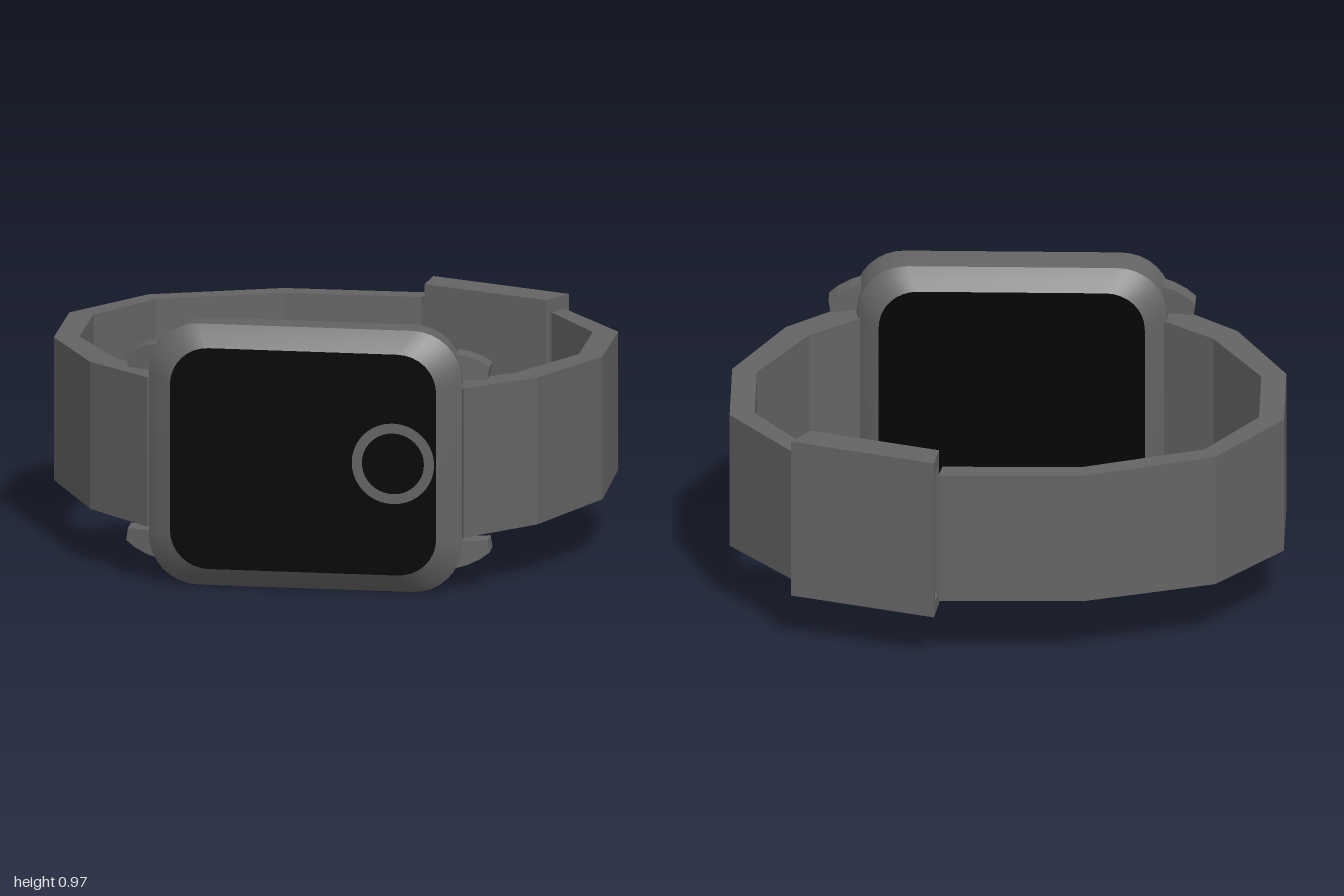
import * as THREE from 'three';
import { toCreasedNormals } from 'three/addons/utils/BufferGeometryUtils.js';

const MID = 0.487; // height of the watch's centre line

const grey = new THREE.MeshStandardMaterial({ color: 0x646464 });
grey.name = 'dark grey';
const black = new THREE.MeshStandardMaterial({ color: 0x020202 });
black.name = 'glass black';

function add(group, name, geometry, material) {
  const mesh = new THREE.Mesh(geometry, material);
  mesh.name = name;
  group.add(mesh);
  return mesh;
}

// Counter-clockwise rounded rectangle outline
function roundedRect(hw, hh, r, steps = 8) {
  const pts = [];
  const corners = [[1, 1], [-1, 1], [-1, -1], [1, -1]];
  corners.forEach(([sx, sy], c) => {
    for (let i = 0; i <= steps; i++) {
      const a = (c + i / steps) * Math.PI / 2;
      pts.push(new THREE.Vector2(sx * (hw - r) + r * Math.cos(a), sy * (hh - r) + r * Math.sin(a)));
    }
  });
  return pts;
}

// Joins equal-length rings of [x, y, z]; optional caps for four-sided rings
function loft(rings, caps = false, flip = false) {
  const n = rings[0].length;
  const index = [];
  const quad = (a, b, c, d) => index.push(...(flip ? [a, c, b, a, d, c] : [a, b, c, a, c, d]));
  for (let k = 0; k < rings.length - 1; k++) {
    for (let i = 0; i < n; i++) {
      const j = (i + 1) % n;
      quad(k * n + i, k * n + j, (k + 1) * n + j, (k + 1) * n + i);
    }
  }
  if (caps) {
    const e = (rings.length - 1) * n;
    quad(3, 2, 1, 0);
    quad(e, e + 1, e + 2, e + 3);
  }
  const g = new THREE.BufferGeometry();
  g.setAttribute('position', new THREE.Float32BufferAttribute(rings.flat(2), 3));
  g.setIndex(index);
  return toCreasedNormals(g, 0.3);
}

// Strap made of flat links; each station is [outerX, outerZ, innerX, innerZ]
function strap(stations, side) {
  const half = (z) => 0.2625 + 0.0215 * z;
  const rings = stations.map(([ox, oz, ix, iz]) => [
    [side * ox, MID - half(oz), oz], [side * ox, MID + half(oz), oz],
    [side * ix, MID + half(iz), iz], [side * ix, MID - half(iz), iz],
  ]);
  return loft(rings, true, side > 0);
}

// Rectangle corners, counter-clockwise
function rectangle(hw, hh) {
  return [[-hw, -hh], [hw, -hh], [hw, hh], [-hw, hh]].map(([x, y]) => new THREE.Vector2(x, y));
}

export function createModel() {
  const model = new THREE.Group();
  model.name = 'wristwatch';

  // Case: bevelled rounded shell
  const sections = [
    [0.48, 0.405, 0.14, 0.537], [0.525, 0.443, 0.16, 0.566], [0.558, 0.478, 0.18, 0.6],
    [0.57, 0.486, 0.18, 0.725], [0.534, 0.45, 0.16, 0.758], [0.485, 0.411, 0.14, 0.787],
  ];
  add(model, 'case', loft(sections.map(([w, h, r, z]) =>
    roundedRect(w, h, r).map((p) => [p.x, MID + p.y, z]))), grey);

  // Black glass on the front and black plate on the back
  const screen = add(model, 'screen', new THREE.ShapeGeometry(new THREE.Shape(roundedRect(0.485, 0.411, 0.14))), black);
  screen.position.set(0, MID, 0.787);
  const back = add(model, 'backPlate', new THREE.ShapeGeometry(new THREE.Shape(roundedRect(0.48, 0.405, 0.14))), black);
  back.position.set(0, MID, 0.537);
  back.rotation.y = Math.PI;

  // Thin ring on the screen
  const ring = add(model, 'screenRing', new THREE.RingGeometry(0.113, 0.15, 40), grey);
  ring.position.set(0.328, MID + 0.005, 0.79);

  // Four curved lugs, leaning back as they leave the case
  const lugs = new THREE.Group();
  lugs.name = 'lugs';
  model.add(lugs);
  const profile = [[0.54, 0.298], [0.655, 0.3], [0.662, 0.345], [0.63, 0.368], [0.585, 0.388], [0.545, 0.398]];
  for (const sx of [1, -1]) {
    for (const sy of [1, -1]) {
      const pts = profile.map(([x, y]) => new THREE.Vector2(sx * x, sy * y));
      const g = new THREE.ExtrudeGeometry(new THREE.Shape(pts), { depth: 0.08, bevelEnabled: false });
      const p = g.attributes.position;
      for (let i = 0; i < p.count; i++) {
        p.setZ(i, p.getZ(i) + 0.615 - 0.3 * (Math.abs(p.getX(i)) - 0.56));
      }
      g.computeVertexNormals();
      add(lugs, 'lug', g, grey).position.y = MID;
    }
  }

  // Straps: both sides share the first links, the right one runs on round the back
  const shared = [
    [0.575, 0.724, 0.5, 0.63], [0.815, 0.51, 0.73, 0.44], [1, 0.14, 0.91, 0.115],
    [1, -0.26, 0.91, -0.24], [0.76, -0.59, 0.72, -0.525],
  ];
  add(model, 'leftStrap', strap(shared, 1), grey);
  add(model, 'rightStrap', strap([...shared, [0.29, -0.765, 0.28, -0.69], [-0.235, -0.775, -0.222, -0.697]], -1), grey);

  // Clasp: an open sleeve around the end of the strap, longer on its outer face
  const sleeve = new THREE.Shape(rectangle(0.06, 0.302));
  sleeve.holes.push(new THREE.Path(rectangle(0.042, 0.252).reverse()));
  const claspGeometry = new THREE.ExtrudeGeometry(sleeve, { depth: 0.526, bevelEnabled: false });
  claspGeometry.translate(0, 0, -0.263);
  const p = claspGeometry.attributes.position;
  for (let i = 0; i < p.count; i++) p.setZ(i, p.getZ(i) * (1 + 0.9 * p.getX(i)));
  claspGeometry.computeVertexNormals();
  const clasp = add(model, 'clasp', claspGeometry, grey);
  clasp.position.set(0.49, MID, -0.645);
  clasp.rotation.y = Math.PI / 2 - 0.35;

  return model;
}
